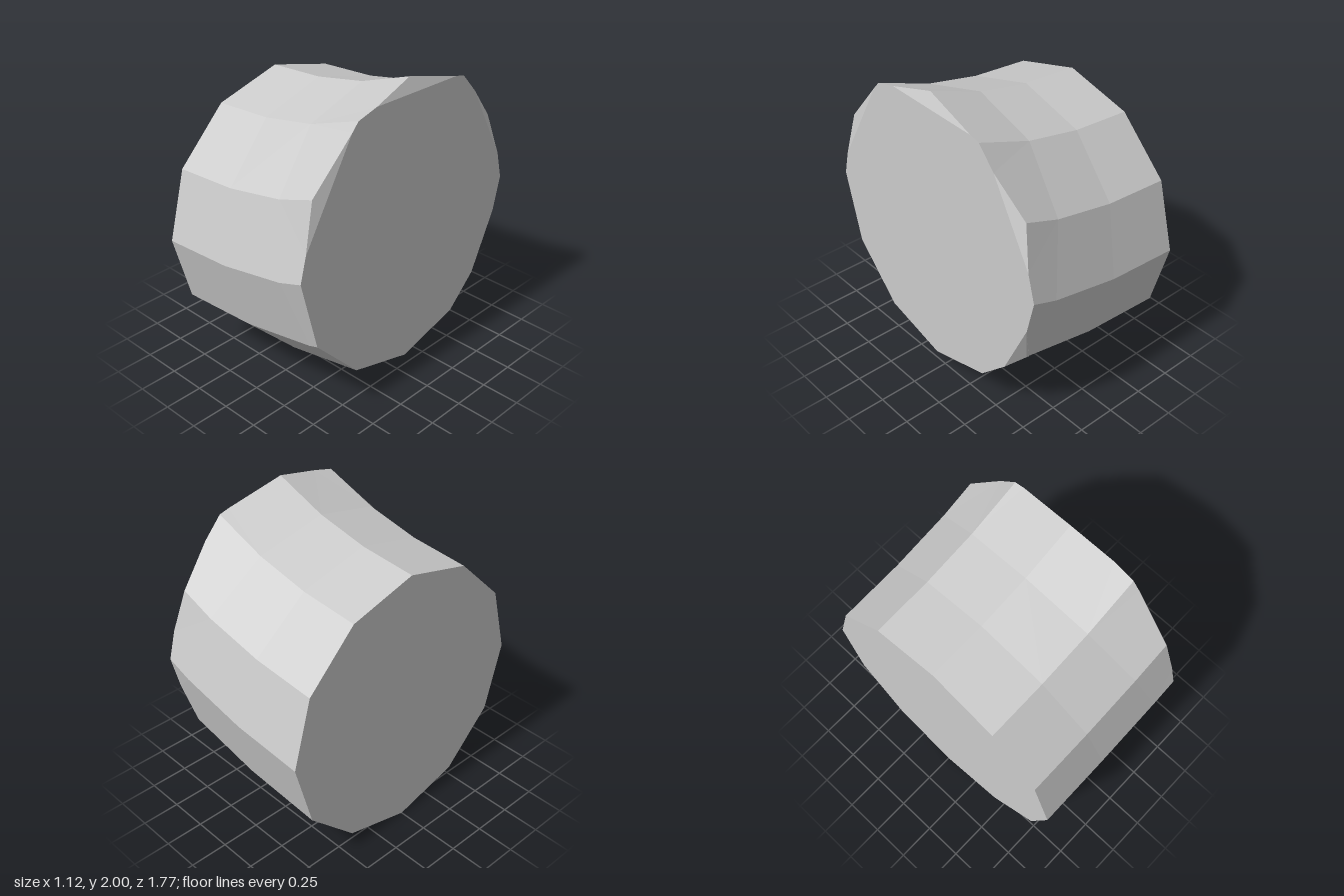
import * as THREE from 'three';

const SIDES = 12, R = 0.887, END = 0.56;

export function createModel() {
  const group = new THREE.Group();

  // Cross-sections along the bend: centre x, centre y, lean in degrees
  const rings = [[-END, 0.887, 0], [-0.07, 0.92, 7.1], [0.39, 1.01, 14.25], [0.85, 1.172, 21.4]]
    .map(([cx, cy, lean]) => Array.from({ length: SIDES }, (_, k) => {
      const a = k / SIDES * Math.PI * 2, t = THREE.MathUtils.degToRad(lean);
      const up = -Math.cos(a) * R;
      return new THREE.Vector3(cx - up * Math.sin(t), cy + up * Math.cos(t), Math.sin(a) * R);
    }));

  // Trim every lengthwise edge at the end plane; a few corners stop short of it
  const short = { 4: 0.535, 8: 0.515, 10: 0.48, 11: 0.54 };
  const trim = (from, to, x) =>
    from.clone().lerp(to, Math.min(1, (x - from.x) / (to.x - from.x)));
  const [start, second] = rings;
  const third = rings[2].map((p, k) => trim(second[k], p, END));
  const end = third.map((p, k) => p.x > END - 1e-6 ? p.clone() : trim(p, rings[3][k], short[k] ?? END));

  // Points along the rim where the flat end face meets the chipped corners
  const share = [0.5, 0.5, 0.5, 0.35, 0.85, 0.32, 0.85, 0.36, 0.6, 0.45, 0.37, 0.45];
  const rim = end.map((p, k) => p.clone().lerp(end[(k + 1) % SIDES], share[k]).setX(END));

  const pos = [];
  const tri = (...pts) => pts.forEach(p => pos.push(p.x, p.y, p.z));
  const startCentre = new THREE.Vector3(-END, R, 0);
  const endCentre = new THREE.Vector3(END, 1.03, 0);

  for (let k = 0; k < SIDES; k++) {
    const n = (k + 1) % SIDES, prev = (k + SIDES - 1) % SIDES;
    // Bent side wall
    for (const [a, b] of [[start, second], [second, third]]) {
      tri(a[k], b[k], b[n]);
      tri(a[k], b[n], a[n]);
    }
    tri(third[k], end[k], rim[k]);
    tri(third[k], rim[k], third[n]);
    tri(third[n], rim[k], end[n]);
    // Flat start face, flat end face and its corners
    tri(startCentre, start[k], start[n]);
    tri(endCentre, rim[n], rim[k]);
    tri(rim[prev], rim[k], end[k]);
  }

  const geometry = new THREE.BufferGeometry();
  geometry.setAttribute('position', new THREE.Float32BufferAttribute(pos, 3));
  geometry.computeVertexNormals();
  const body = new THREE.Mesh(geometry,
    new THREE.MeshStandardMaterial({ color: 0xcccccc, flatShading: true }));
  body.name = 'bentDrum';
  group.add(body);
  return group;
}
